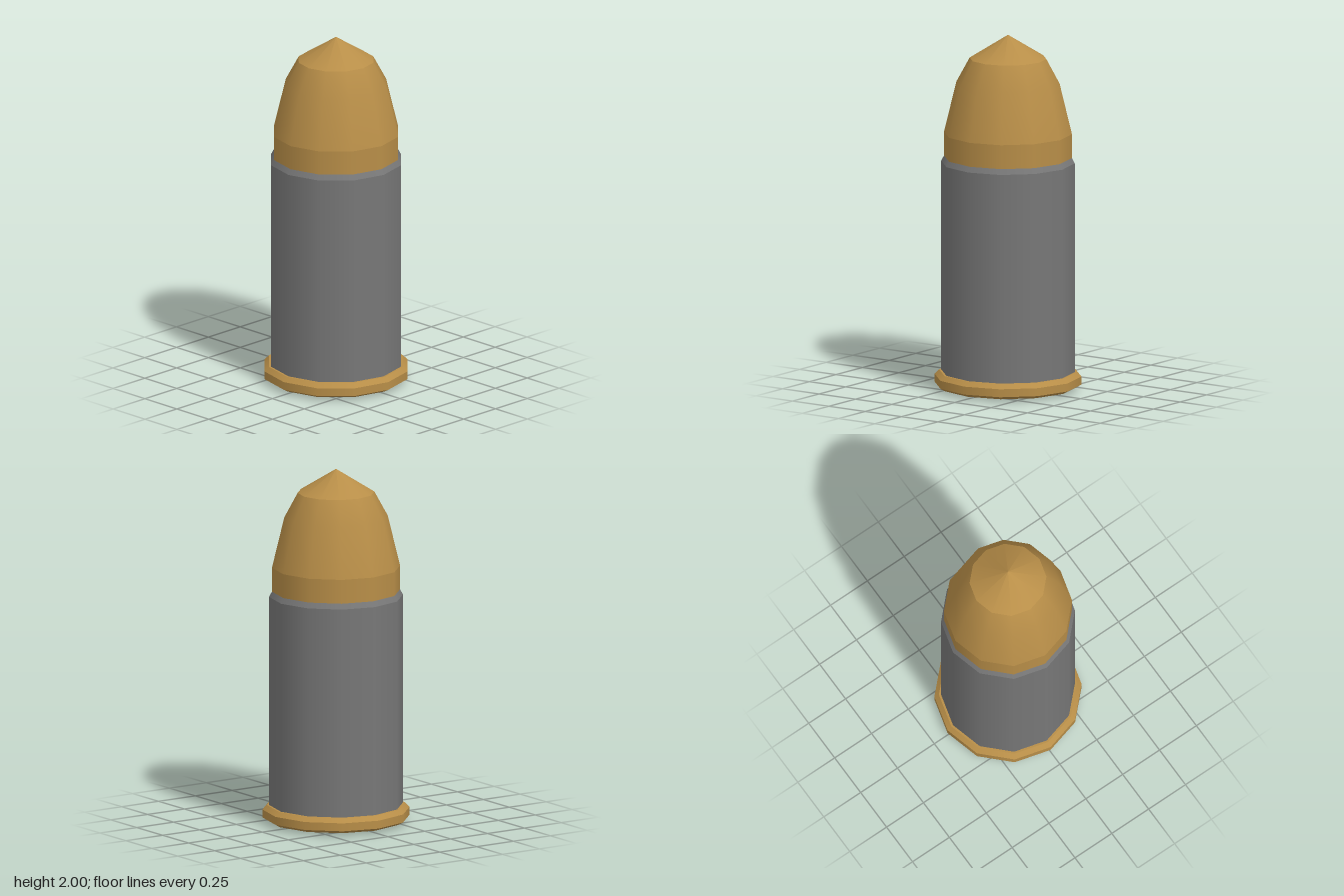
import * as THREE from 'three';

const SIDES = 12;

export function createModel() {
  const brass = new THREE.MeshStandardMaterial({ color: 0xb88e48 });
  brass.name = 'brass';
  const steel = new THREE.MeshStandardMaterial({ color: 0x777777 });
  steel.name = 'steel grey';

  const model = new THREE.Group();
  model.name = 'cartridge';

  // Each band is a [radius, height] profile, smooth within and creased at its ends.
  const addPart = (name, material, bands) => {
    const part = new THREE.Group();
    part.name = name;
    bands.forEach((band, i) => {
      const points = band.map(([r, y]) => new THREE.Vector2(r, y));
      const mesh = new THREE.Mesh(new THREE.LatheGeometry(points, SIDES), material);
      mesh.name = `${name}Band${i + 1}`;
      part.add(mesh);
    });
    model.add(part);
  };

  // Shallow pointed underside
  addPart('base', steel, [[[0, 0], [0.38, 0.013]]]);

  // Bevelled rim with a narrow flat ledge around the case
  addPart('rim', brass, [
    [[0.38, 0.013], [0.41, 0.03]],
    [[0.41, 0.03], [0.41, 0.075]],
    [[0.41, 0.075], [0.385, 0.1]],
    [[0.385, 0.1], [0.373, 0.1]],
  ]);

  // Straight case wall and its bevelled mouth
  addPart('case', steel, [
    [[0.373, 0.1], [0.373, 1.28]],
    [[0.373, 1.28], [0.357, 1.31]],
  ]);

  // Bullet: straight collar, curved shoulder and pointed tip
  addPart('bullet', brass, [
    [[0.357, 1.31], [0.357, 1.445]],
    [[0.357, 1.445], [0.288, 1.73], [0.214, 1.867]],
    [[0.214, 1.867], [0, 2]],
  ]);

  return model;
}
